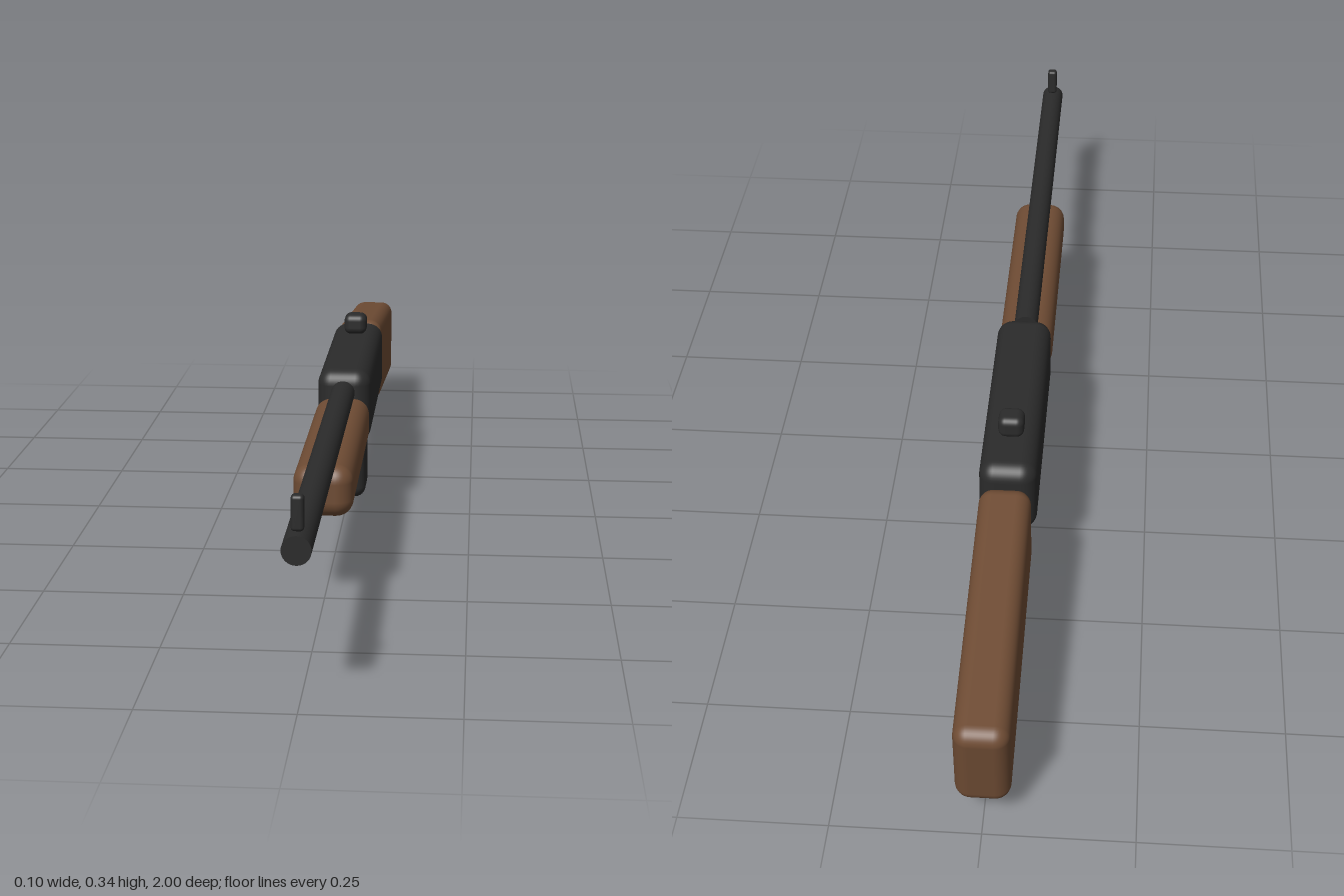
import * as THREE from 'three';
import { RoundedBoxGeometry } from 'three/addons/geometries/RoundedBoxGeometry.js';

export function createModel() {
  const group = new THREE.Group();
  const steel = new THREE.MeshStandardMaterial({ color: 0x2b2b2b });
  steel.name = 'darkSteel';
  const wood = new THREE.MeshStandardMaterial({ color: 0x6f4c34 });
  wood.name = 'walnut';

  const add = (name, geometry, material, y, z) => {
    const mesh = new THREE.Mesh(geometry, material);
    mesh.name = name;
    mesh.position.set(0, y, z);
    group.add(mesh);
    return mesh;
  };
  // Rounded block given by its size and centre
  const block = (name, material, [w, h, d], radius, y, z) =>
    add(name, new RoundedBoxGeometry(w, h, d, 5, radius), material, y, z);

  // Main body
  block('receiver', steel, [0.104, 0.148, 0.476], 0.03, 0.223, -0.202);
  block('magazine', steel, [0.07, 0.16, 0.106], 0.022, 0.08, -0.137);

  // Wooden furniture; the butt drops towards the rear
  block('forend', wood, [0.104, 0.092, 0.504], 0.03, 0.204, 0.291);
  block('buttStock', wood, [0.092, 0.178, 0.538], 0.026, 0.171, -0.7245).rotation.x = -0.12;

  // Barrel
  const barrel = new THREE.CylinderGeometry(0.023, 0.023, 0.947, 32).rotateX(Math.PI / 2);
  add('barrel', barrel, steel, 0.259, 0.5265);

  // Sights
  block('frontSight', steel, [0.02, 0.056, 0.019], 0.006, 0.31, 0.973);
  block('rearSight', steel, [0.047, 0.042, 0.047], 0.014, 0.317, -0.326);

  // Trigger guard: lower half ring in the side plane
  const guard = new THREE.TorusGeometry(0.047, 0.008, 12, 32, Math.PI)
    .rotateZ(Math.PI).rotateY(Math.PI / 2);
  add('triggerGuard', guard, steel, 0.13, -0.326);
  for (const side of [-1, 1]) {
    const cap = new THREE.CircleGeometry(0.008, 12).rotateX(-Math.PI / 2);
    add('triggerGuardEnd', cap, steel, 0.13, -0.326 + side * 0.047);
  }

  return group;
}
